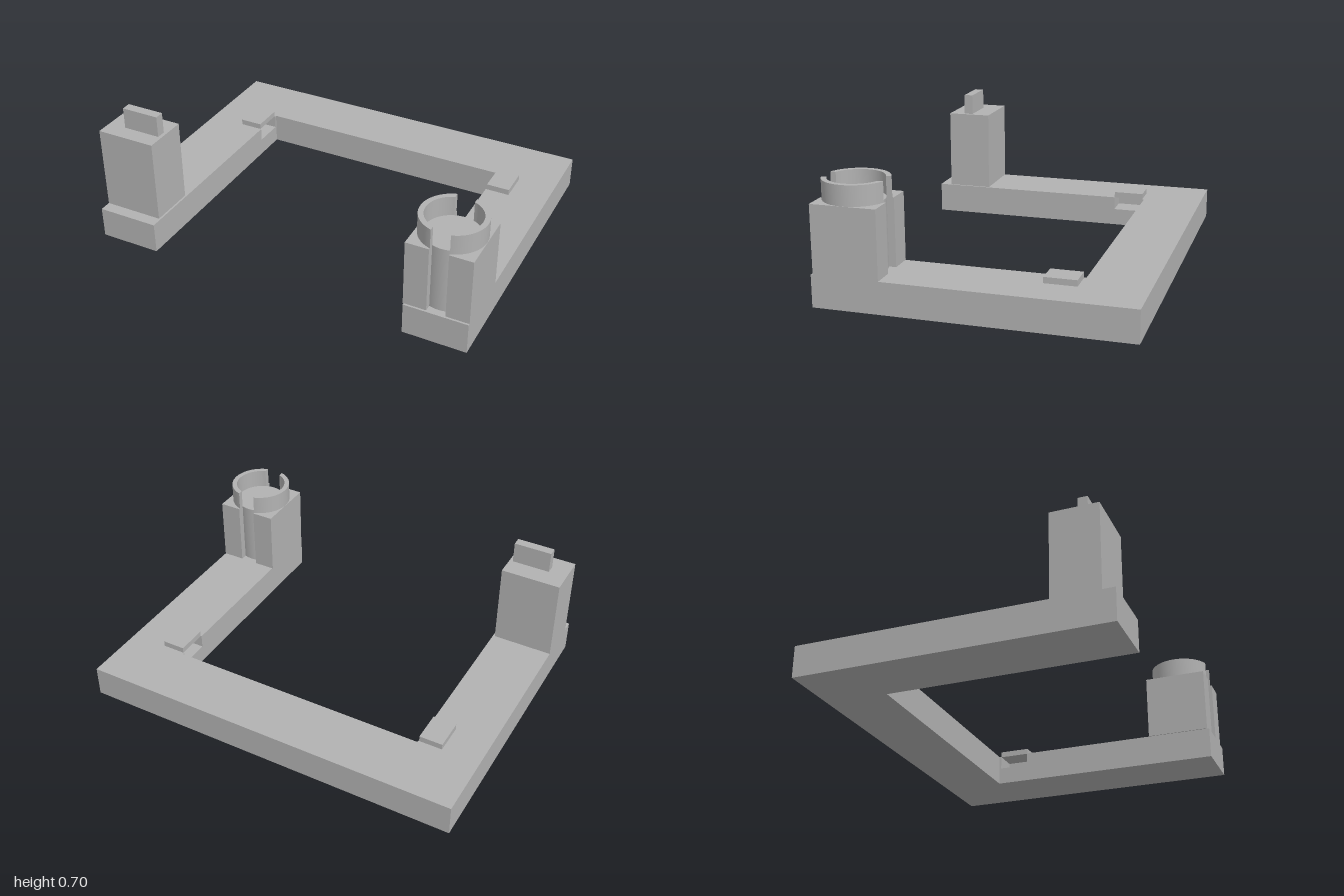
import * as THREE from 'three';

const grey = new THREE.MeshStandardMaterial({ color: 0xb2b2b2 });
grey.name = 'plain grey';

export function createModel() {
  const model = new THREE.Group();
  model.name = 'bracketFrame';

  const add = (name, geometry) => {
    const mesh = new THREE.Mesh(geometry, grey);
    mesh.name = name;
    model.add(mesh);
    return mesh;
  };

  // Box given by its limits on each axis
  const box = (name, x0, x1, y0, y1, z0, z1) =>
    add(name, new THREE.BoxGeometry(x1 - x0, y1 - y0, z1 - z0))
      .position.set((x0 + x1) / 2, (y0 + y1) / 2, (z0 + z1) / 2);

  // Plan outline (x, -z) raised from y0 to y1
  const raise = (name, shape, y0, y1) => {
    const g = new THREE.ExtrudeGeometry(shape, { depth: y1 - y0, bevelEnabled: false, curveSegments: 32 });
    g.rotateX(-Math.PI / 2);
    g.translate(0, y0, 0);
    return add(name, g);
  };

  // U-shaped base: right half outline is mirrored for the left
  const uShape = (inner) => {
    const half = [[1, -0.77], [1, 0.77], [0.68, 0.77], ...inner, [0.68, -0.455]];
    const mirrored = half.map(([x, z]) => [-x, z]).reverse();
    return new THREE.Shape([...half, ...mirrored].map(([x, z]) => new THREE.Vector2(x, -z)));
  };
  raise('baseLower', uShape([]), 0, 0.09);
  // Upper layer has a pocket under each pad, open to the inside
  raise('baseUpper', uShape([[0.68, -0.285], [0.805, -0.285], [0.805, -0.445], [0.68, -0.445]]), 0.09, 0.16);

  // Small pads over the pockets
  box('rightPad', -0.805, -0.685, 0.16, 0.19, -0.445, -0.285);
  box('leftPad', 0.685, 0.805, 0.16, 0.19, -0.445, -0.285);

  // Block post with its upright tab
  box('blockPost', -1, -0.69, 0.16, 0.59, 0.475, 0.71);
  box('blockPostTab', -0.905, -0.708, 0.59, 0.70, 0.578, 0.626);

  // Socket post: square with a groove front and back reaching the round core
  const cx = 0.838, cz = 0.597, gap = 0.047, rIn = 0.135, rOut = 0.161;
  const side = 0.1625;
  const a = Math.acos(gap / rIn);
  const post = new THREE.Shape();
  post.moveTo(cx - side, -cz - side);
  post.lineTo(cx - gap, -cz - side);
  post.absarc(cx, -cz, rIn, Math.PI + a, 2 * Math.PI - a, false);
  post.lineTo(cx + gap, -cz - side);
  post.lineTo(cx + side, -cz - side);
  post.lineTo(cx + side, -cz + side);
  post.lineTo(cx + gap, -cz + side);
  post.absarc(cx, -cz, rIn, a, Math.PI - a, false);
  post.lineTo(cx - gap, -cz + side);
  post.lineTo(cx - side, -cz + side);
  raise('socketPost', post, 0.16, 0.5);

  // Split ring on top, one half each side of the gap
  const b = Math.acos(gap / rOut);
  for (const [name, turn] of [['ringOuterHalf', 0], ['ringInnerHalf', Math.PI]]) {
    const ring = new THREE.Shape();
    ring.absarc(cx, -cz, rOut, turn - b, turn + b, false);
    ring.absarc(cx, -cz, rIn, turn + a, turn - a, true);
    raise(name, ring, 0.5, 0.6);
  }

  return model;
}
